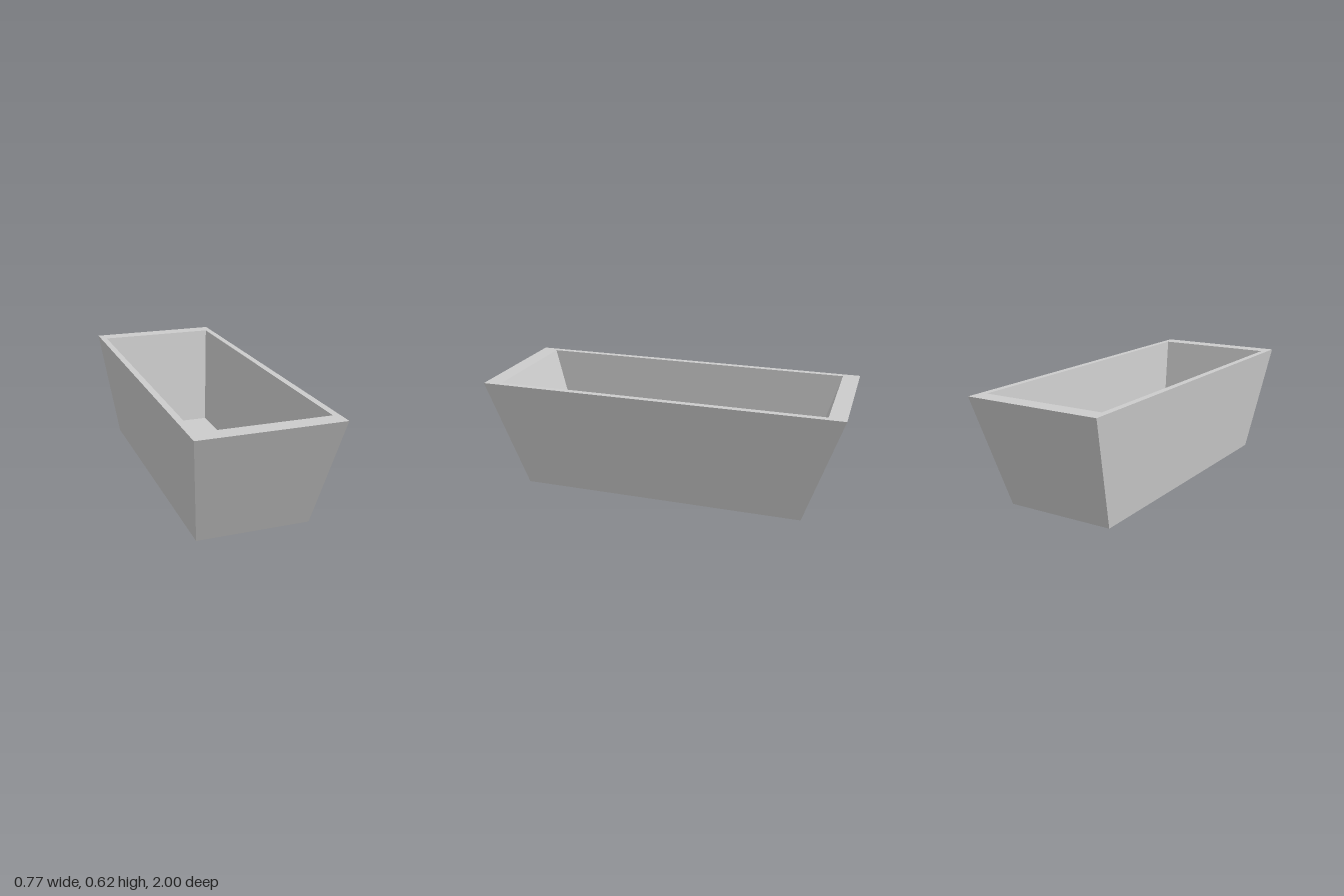
import * as THREE from 'three';

const HEIGHT = 0.615;
const FLOOR = 0.04;      // thickness of the floor
const ASPECT = 0.3835;   // width relative to length

// Four-sided lathe squeezed into a rectangle; profile points are [half length, y]
function rectLathe(name, profile, material) {
  const points = profile.map(([half, y]) => new THREE.Vector2(half * Math.SQRT2, y));
  const geometry = new THREE.LatheGeometry(points, 4, Math.PI / 4).toNonIndexed();
  geometry.scale(ASPECT, 1, 1);
  geometry.computeVertexNormals();
  const mesh = new THREE.Mesh(geometry, material);
  mesh.name = name;
  return mesh;
}

export function createModel() {
  const group = new THREE.Group();
  group.name = 'taperedTrough';
  const material = new THREE.MeshStandardMaterial({ color: 0xcccccc, flatShading: true });

  // Underside, sloping outer walls, flat rim, sloping inner walls and floor
  group.add(
    rectLathe('base', [[0, 0], [0.8, 0]], material),
    rectLathe('outerWalls', [[0.8, 0], [1, HEIGHT]], material),
    rectLathe('rim', [[1, HEIGHT], [0.906, HEIGHT]], material),
    rectLathe('innerWalls', [[0.906, HEIGHT], [0.73, FLOOR]], material),
    rectLathe('innerFloor', [[0.73, FLOOR], [0, FLOOR]], material),
  );
  return group;
}
